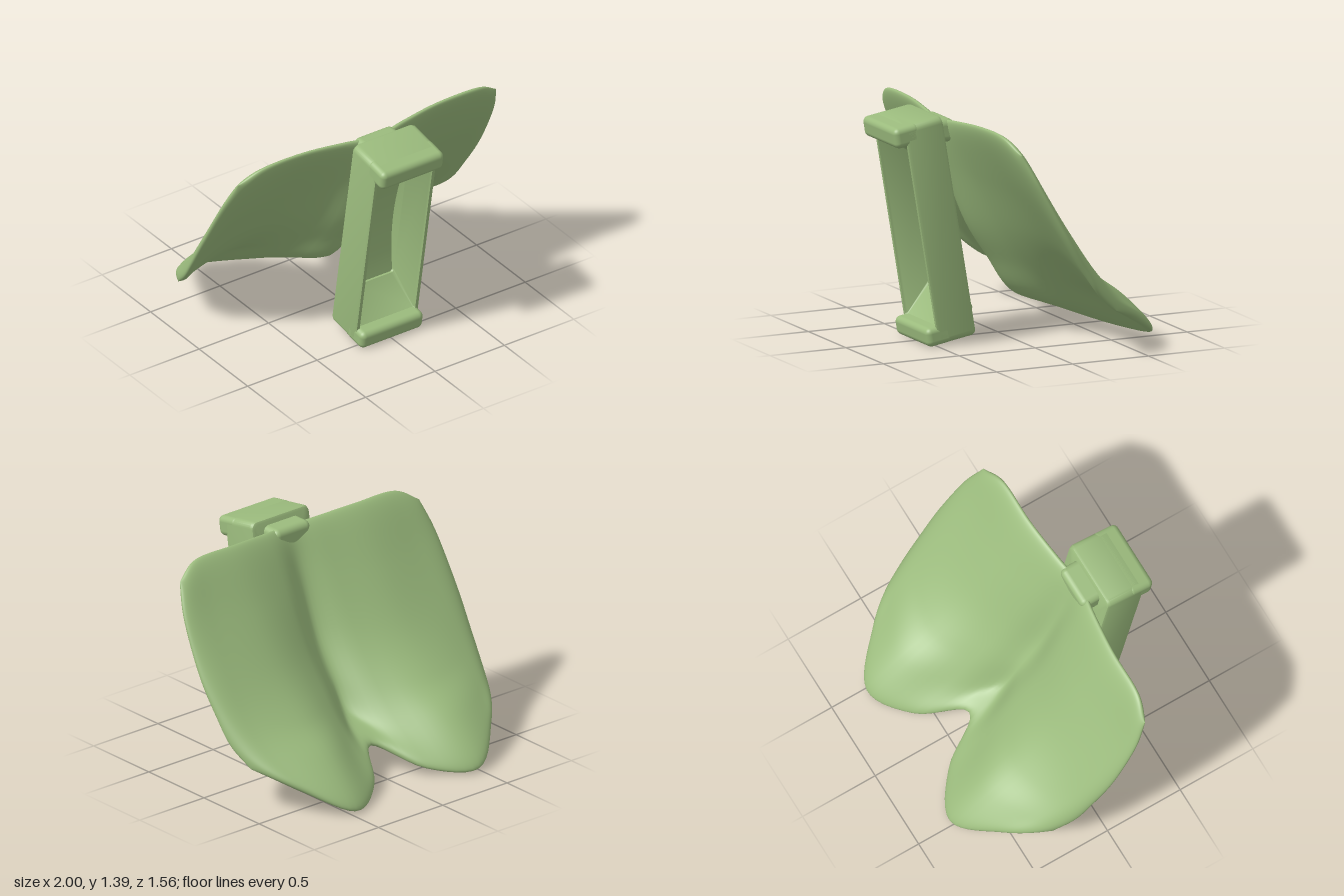
import * as THREE from 'three';
import { mergeVertices, toCreasedNormals } from 'three/addons/utils/BufferGeometryUtils.js';
import { RoundedBoxGeometry } from 'three/addons/geometries/RoundedBoxGeometry.js';

const green = new THREE.MeshStandardMaterial({ color: 0x9bbb7d });
const greenThin = new THREE.MeshStandardMaterial({ color: 0x9bbb7d, side: THREE.DoubleSide });

function addMesh(parent, name, geometry, material = green) {
  const mesh = new THREE.Mesh(geometry, material);
  mesh.name = name;
  parent.add(mesh);
  return mesh;
}

function roundedBox(parent, name, [w, h, d], radius, [x, y, z]) {
  addMesh(parent, name, new RoundedBoxGeometry(w, h, d, 4, radius)).position.set(x, y, z);
}

// Profiles from top to bottom, from the centre groove out to the side edge
const profiles = [
  [[0, 1.34, .41], [0, 1.08, .32], [0, .72, .18], [0, .48, .03], [0, .28, -.11], [0, .18, -.35]],
  [[.2, 1.355, .38], [.2, 1.03, .22], [.2, .69, .04], [.2, .45, -.14], [.2, .25, -.34], [.2, .06, -.61]],
  [[.48, 1.37, .35], [.48, 1.0, .14], [.48, .66, -.08], [.48, .43, -.3], [.48, .27, -.52], [.48, .03, -.77]],
  [[.77, 1.365, .345], [.8, 1.05, .18], [.84, .72, -.03], [.84, .49, -.2], [.81, .32, -.37], [.74, .17, -.57]],
  [[.93, 1.28, .3], [.98, 1.08, .2], [1, .78, .04], [.985, .55, -.1], [.965, .4, -.2], [.92, .28, -.33]],
];

// Two-lobed shell: a lofted middle surface, thickened and thinned to a round rim
function shellGeometry() {
  const cols = 72, rows = 56, half = 0.036;
  const curve = (pts) => new THREE.CatmullRomCurve3(pts, false, 'catmullrom');
  const toCurve = (side) => (p) => curve(p.map(([x, y, z]) => new THREE.Vector3(side * x, y, z)));
  const lines = [...profiles.slice(1).reverse().map(toCurve(-1)), ...profiles.map(toCurve(1))];
  const ease = (k) => Math.sin((k * 2 - 1) * Math.PI / 2); // crowds samples at the rim

  const mid = [];
  for (let j = 0; j <= rows; j++) {
    const t = (ease(j / rows) + 1) / 2;
    const across = curve(lines.map((l) => l.getPoint(t)));
    mid.push(Array.from({ length: cols + 1 }, (_, i) => across.getPoint((ease(i / cols) + 1) / 2)));
  }
  const at = (i, j) => mid[Math.min(rows, Math.max(0, j))][Math.min(cols, Math.max(0, i))];
  const positions = [], index = [];
  for (const side of [1, -1]) {
    const base = positions.length / 3;
    for (let j = 0; j <= rows; j++) {
      for (let i = 0; i <= cols; i++) {
        const du = at(i + 1, j).clone().sub(at(i - 1, j));
        const dv = at(i, j + 1).clone().sub(at(i, j - 1));
        const rim = (1 - Math.abs(ease(i / cols)) ** 12) * (1 - Math.abs(ease(j / rows)) ** 12);
        const p = du.cross(dv).normalize().multiplyScalar(side * half * Math.sqrt(Math.max(0, rim)));
        positions.push(...p.add(at(i, j)).toArray());
        if (i === cols || j === rows) continue;
        const a = base + j * (cols + 1) + i, b = a + 1, c = a + cols + 1, d = c + 1;
        index.push(...(side > 0 ? [a, b, c, b, d, c] : [a, c, b, b, c, d]));
      }
    }
  }
  const g = new THREE.BufferGeometry();
  g.setAttribute('position', new THREE.Float32BufferAttribute(positions, 3));
  g.setIndex(index);
  const merged = mergeVertices(g, 1e-5);
  merged.computeVertexNormals();
  return merged;
}

// Hollow frame lofted through rounded rectangles: [half width, bottom, top, corner radius, depth]
function frameGeometry() {
  const rings = [
    [.13, .29, 1.10, .02, 0], [.205, .02, 1.34, .03, 0], [.219, .006, 1.354, .04, .006],
    [.225, 0, 1.36, .04, .02], [.225, 0, 1.36, .04, .235], [.22, .005, 1.355, .035, .25],
    [.2, .11, 1.24, .01, .25], [.195, .115, 1.235, .01, .235], [.142, .29, 1.10, .02, .08], [.13, .29, 1.10, .02, 0],
  ];
  const steps = 5, n = 4 * (steps + 1), positions = [], index = [];
  for (const [hw, y0, y1, r, z] of rings) {
    for (let c = 0; c < 4; c++) {
      const cx = (c === 0 || c === 3 ? 1 : -1) * (hw - r);
      const cy = c < 2 ? y1 - r : y0 + r;
      for (let k = 0; k <= steps; k++) {
        const a = (c + k / steps) * Math.PI / 2;
        positions.push(cx + r * Math.cos(a), cy + r * Math.sin(a), z);
      }
    }
  }
  for (let j = 0; j < rings.length - 1; j++) {
    for (let i = 0; i < n; i++) {
      const a = j * n + i, b = j * n + (i + 1) % n;
      index.push(a, b, a + n, b, b + n, a + n);
    }
  }
  const g = new THREE.BufferGeometry();
  g.setAttribute('position', new THREE.Float32BufferAttribute(positions, 3));
  g.setIndex(index);
  return toCreasedNormals(g, 0.6);
}

export function createModel() {
  const model = new THREE.Group();
  model.name = 'model';

  addMesh(model, 'shell', shellGeometry());
  roundedBox(model, 'neck', [.28, .14, .16], .04, [0, 1.285, .425]);

  // Leaning clip
  const clip = new THREE.Group();
  clip.name = 'clip';
  clip.position.set(0, .055, .245);
  clip.rotation.x = 0.167;
  model.add(clip);

  addMesh(clip, 'frame', frameGeometry());
  roundedBox(clip, 'topLip', [.45, .125, .17], .035, [0, 1.2975, .24]);
  roundedBox(clip, 'bottomLip', [.45, .115, .17], .035, [0, .0575, .235]);

  // Recessed floor, hollowed along its length
  const floor = new THREE.PlaneGeometry(.29, .83, 1, 20);
  const p = floor.attributes.position;
  for (let i = 0; i < p.count; i++) p.setZ(i, .02 + .05 * (p.getY(i) / .415) ** 2);
  floor.computeVertexNormals();
  addMesh(clip, 'recessFloor', floor, greenThin).position.y = .695;

  // Wedge-shaped catch low on the back
  const side = new THREE.Shape([[.02, .31], [.01, .10], [-.025, .11], [-.04, .14], [-.005, .29]]
    .map(([z, y]) => new THREE.Vector2(z, y)));
  const wedge = new THREE.ExtrudeGeometry(side, {
    depth: .2, bevelEnabled: true, bevelSize: .01, bevelThickness: .015, bevelSegments: 3,
  });
  wedge.translate(0, 0, -.1).rotateY(-Math.PI / 2);
  addMesh(clip, 'backCatch', toCreasedNormals(wedge, 0.6));

  return model;
}
